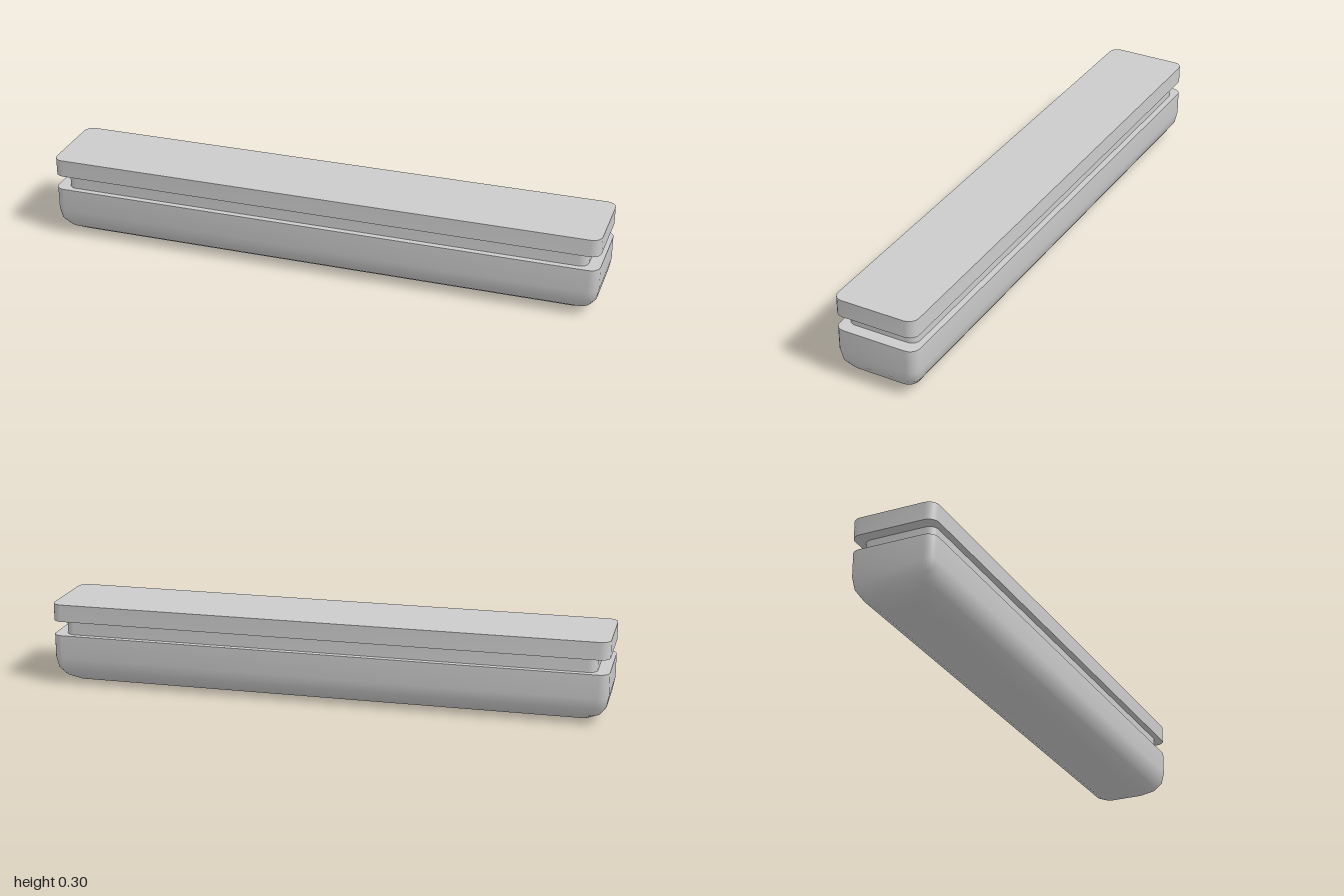
import * as THREE from 'three';
import { toCreasedNormals } from 'three/addons/utils/BufferGeometryUtils.js';

const CORNER_STEPS = 5;

// Rounded rectangle outline at height y, running from +x towards +z
function ring(halfX, halfZ, radius, y) {
  const points = [];
  const signs = [[1, 1], [-1, 1], [-1, -1], [1, -1]];
  signs.forEach(([sx, sz], corner) => {
    for (let i = 0; i <= CORNER_STEPS; i++) {
      const a = (corner + i / CORNER_STEPS) * Math.PI / 2;
      points.push(
        sx * (halfX - radius) + radius * Math.cos(a),
        y,
        sz * (halfZ - radius) + radius * Math.sin(a)
      );
    }
  });
  return points;
}

// Closed solid skinned over [inset, y] levels, listed from bottom to top
function roundedSlab(name, halfX, halfZ, radius, levels, material) {
  const n = 4 * (CORNER_STEPS + 1);
  const positions = levels.flatMap(([inset, y]) => ring(halfX - inset, halfZ - inset, radius, y));
  const bottom = levels.length * n;
  const top = bottom + 1;
  positions.push(0, levels[0][1], 0, 0, levels[levels.length - 1][1], 0);

  const index = [];
  for (let i = 0; i < n; i++) {
    const j = (i + 1) % n;
    for (let l = 0; l < levels.length - 1; l++) {
      const a = l * n, b = a + n;
      index.push(a + i, b + i, a + j, b + i, b + j, a + j);
    }
    const last = bottom - n;
    index.push(bottom, i, j, top, last + j, last + i);
  }

  const geometry = new THREE.BufferGeometry();
  geometry.setAttribute('position', new THREE.Float32BufferAttribute(positions, 3));
  geometry.setIndex(index);
  const mesh = new THREE.Mesh(toCreasedNormals(geometry, 0.9), material);
  mesh.name = name;
  return mesh;
}

export function createModel() {
  const group = new THREE.Group();
  group.name = 'groovedBar';
  const material = new THREE.MeshStandardMaterial({ color: 0xcccccc });

  // Lower body with a rounded underside
  const underside = [[0.095, 0], [0.06, 0.008], [0.028, 0.029], [0.007, 0.06], [0, 0.1], [0, 0.185]];
  group.add(roundedSlab('lowerBody', 1, 0.15, 0.035, underside, material));

  // Recessed neck forming the groove
  group.add(roundedSlab('grooveNeck', 0.957, 0.128, 0.03, [[0, 0.185], [0, 0.237]], material));

  // Flat top plate
  group.add(roundedSlab('topPlate', 1, 0.15, 0.035, [[0, 0.237], [0, 0.3]], material));

  return group;
}
